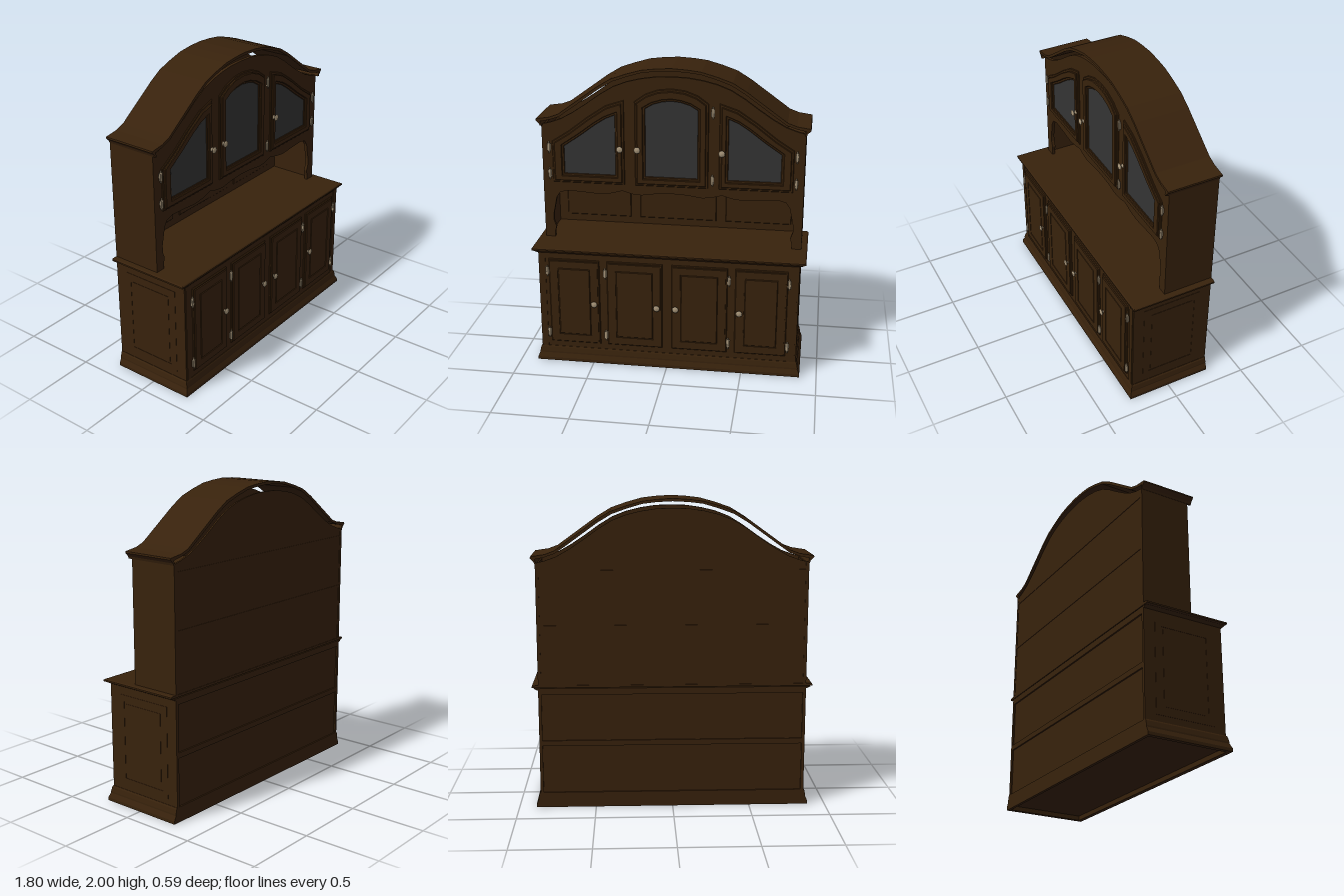
import * as THREE from 'three';

const mat = (name, color) => {
  const m = new THREE.MeshStandardMaterial({ color });
  m.name = name;
  return m;
};

export function createModel() {
  const wood = mat('dark walnut', 0x38220c);
  const glass = mat('smoked glass', 0x343434);
  const metal = mat('aged brass', 0xa8967a);
  const root = new THREE.Group();
  root.name = 'dresser';

  const add = (name, geo, material = wood) => {
    const m = new THREE.Mesh(geo, material);
    m.name = name;
    root.add(m);
    return m;
  };
  // box given by its min and max corners
  const box = (name, x0, x1, y0, y1, z0, z1, material) => {
    const m = add(name, new THREE.BoxGeometry(x1 - x0, y1 - y0, z1 - z0), material);
    m.position.set((x0 + x1) / 2, (y0 + y1) / 2, (z0 + z1) / 2);
    return m;
  };
  const shapeOf = pts => new THREE.Shape(pts.map(p => new THREE.Vector2(p[0], p[1])));
  // flat board with outline pts between z0 and z1, optional hole and chamfer
  const board = (name, pts, z0, z1, { hole, bevel = 0, material } = {}) => {
    const s = shapeOf(pts);
    if (hole) s.holes.push(shapeOf(hole));
    const geo = new THREE.ExtrudeGeometry(s, {
      depth: z1 - z0 - bevel, bevelEnabled: bevel > 0, bevelThickness: bevel,
      bevelSize: bevel, bevelOffset: -bevel, bevelSegments: 1,
    });
    geo.translate(0, 0, z0);
    return add(name, geo, material);
  };
  const rect = (x0, x1, y0, y1) => [[x0, y0], [x1, y0], [x1, y1], [x0, y1]];
  const flip = pts => pts.map(([x, y]) => [-x, y]).reverse();
  // right half (from the centre outwards) to a full left-to-right line
  const fullLine = half => [...flip(half), ...half.slice(1)];
  // shrink a counter-clockwise polygon by d
  const inset = (pts, d) => pts.map((p, i) => {
    const a = pts[(i + pts.length - 1) % pts.length], b = pts[(i + 1) % pts.length];
    const n = (u, v) => {
      const l = Math.hypot(v[0] - u[0], v[1] - u[1]);
      return [-(v[1] - u[1]) / l, (v[0] - u[0]) / l];
    };
    const n1 = n(a, p), n2 = n(p, b);
    const k = d / (1 + n1[0] * n2[0] + n1[1] * n2[1]);
    return [p[0] + (n1[0] + n2[0]) * k, p[1] + (n1[1] + n2[1]) * k];
  });
  // rectangular rings [y, halfWidth, zFront, zBack] joined from top to bottom, capped
  const moulding = (name, rings) => {
    const loops = rings.map(([y, w, f, b]) => [[-w, y, f], [w, y, f], [w, y, b], [-w, y, b]]);
    const pos = [];
    const quad = (a, b, c, d) => pos.push(...a, ...b, ...c, ...a, ...c, ...d);
    quad(...loops[0]);
    for (let i = 0; i + 1 < loops.length; i++) {
      for (let j = 0; j < 4; j++) {
        const k = (j + 1) % 4;
        quad(loops[i + 1][j], loops[i + 1][k], loops[i][k], loops[i][j]);
      }
    }
    quad(...loops[loops.length - 1].slice().reverse());
    const geo = new THREE.BufferGeometry();
    geo.setAttribute('position', new THREE.Float32BufferAttribute(pos, 3));
    geo.computeVertexNormals();
    return add(name, geo);
  };

  const profile = pts => pts.map(p => new THREE.Vector2(...p));
  const knobGeo = new THREE.LatheGeometry(profile([[0.014, 0], [0.013, 0.003], [0.006, 0.006],
    [0.006, 0.013], [0.017, 0.017], [0.022, 0.022], [0.016, 0.027], [0, 0.029]]), 14)
    .rotateX(Math.PI / 2);
  const knob = (x, y, z) => add('knob', knobGeo, metal).position.set(x, y, z);
  const pinGeo = new THREE.LatheGeometry(profile([[0, -0.042], [0.005, -0.038], [0.004, -0.03],
    [0.008, -0.026], [0.008, 0.026], [0.004, 0.03], [0.005, 0.038], [0, 0.042]]), 8);
  const hinge = (x, y, z) => {
    add('hinge', pinGeo, metal).position.set(x, y, z);
    box('hingeLeaf', x - 0.012, x + 0.012, y - 0.024, y + 0.024, z - 0.006, z + 0.003, metal);
  };

  // ---- base cabinet ----
  const back = -0.295;
  moulding('plinth', [
    [0.1, 0.862, 0.258, back], [0.09, 0.868, 0.262, back], [0.06, 0.874, 0.268, back],
    [0.05, 0.874, 0.268, back], [0.02, 0.888, 0.28, back], [0, 0.888, 0.28, back],
    [0, 0.86, 0.25, back + 0.02], [0.03, 0.86, 0.25, back + 0.02],
  ]);
  // top slab with a fine shadow gap over its moulding
  moulding('countertop', [
    [0.817, 0.89, 0.268, back], [0.812, 0.9, 0.276, back], [0.802, 0.9, 0.276, back],
  ]);
  moulding('countertopMoulding', [[0.797, 0.888, 0.27, back], [0.785, 0.866, 0.26, back]]);
  box('baseFront', -0.86, 0.86, 0.1, 0.785, 0.235, 0.255);
  box('baseBack', -0.845, 0.845, 0.1, 0.785, -0.285, -0.275);
  box('backTopRail', -0.845, 0.845, 0.755, 0.785, back, -0.28);
  box('backMiddleRail', -0.845, 0.845, 0.415, 0.45, back, -0.28);
  for (const s of [-1, 1]) {
    box('baseSide', s < 0 ? -0.86 : 0.84, s < 0 ? -0.84 : 0.86, 0.1, 0.785, back, 0.255);
    // shallow raised field on the end panel
    const trim = board('sidePanelTrim', rect(-0.2, 0.2, 0.14, 0.73), 0, 0.003,
      { hole: rect(-0.16, 0.16, 0.18, 0.69) });
    const field = board('sidePanelField', rect(-0.145, 0.145, 0.195, 0.675), 0, 0.003);
    for (const m of [trim, field]) {
      m.rotation.y = s * Math.PI / 2;
      m.position.set(s * 0.859, 0, -0.02);
    }
    // corner pilaster
    box('corner', s * 0.832 - 0.018, s * 0.832 + 0.018, 0.1, 0.785, 0.25, 0.259);
  }

  // lower doors: slab, frame and raised centre
  for (const [x0, x1] of [[-0.79, -0.45], [-0.4, -0.03], [0.03, 0.4], [0.45, 0.79]]) {
    const r = rect(x0, x1, 0.14, 0.745);
    board('lowerDoorEdge', r, 0.255, 0.264, { bevel: 0.005 });
    board('lowerDoorFrame', inset(r, 0.012), 0.26, 0.272, { hole: inset(r, 0.06) });
    board('lowerDoorField', inset(r, 0.064), 0.26, 0.272, { bevel: 0.004 });
  }
  for (const x of [-0.485, -0.065, 0.06, 0.48]) knob(x, 0.44, 0.268);
  for (const x of [-0.8, -0.41, 0.41, 0.8]) for (const y of [0.21, 0.66]) hinge(x, y, 0.269);

  // ---- upper cabinet, open under the floating cornice ----
  const top = fullLine([[0, 1.94], [0.1, 1.937], [0.2, 1.922], [0.29, 1.9], [0.38, 1.865],
    [0.47, 1.81], [0.56, 1.745], [0.65, 1.685], [0.73, 1.64], [0.8, 1.615], [0.86, 1.6]]);
  const opening = fullLine([[0, 1.16], [0.1, 1.155], [0.2, 1.14], [0.26, 1.145], [0.33, 1.165],
    [0.4, 1.145], [0.48, 1.135], [0.6, 1.145], [0.7, 1.15], [0.75, 1.135], [0.775, 1.1],
    [0.785, 1.05], [0.8, 0.98], [0.8, 0.93], [0.785, 0.89], [0.795, 0.85], [0.795, 0.815]]);
  const topRev = top.slice().reverse();
  board('faceFrame', [[-0.86, 0.815], ...opening, [0.86, 0.815], ...topRev], 0.02, 0.042);
  board('backPanel', [[-0.86, 0.815], [0.86, 0.815], ...topRev], -0.292, -0.28);
  for (const s of [-1, 1]) {
    box('upperSide', s < 0 ? -0.86 : 0.84, s < 0 ? -0.84 : 0.86, 0.815, 1.597, back, 0.04);
  }
  box('cupboardFloor', -0.845, 0.845, 1.185, 1.205, back, 0.03);
  box('cupboardShelf', -0.845, 0.845, 1.545, 1.555, back, 0.02);

  // shallow panels at the back of the open niche
  for (const [x0, x1] of [[-0.78, -0.33], [-0.265, 0.265], [0.33, 0.78]]) {
    board('nichePanel', rect(x0, x1, 0.865, 1.11), -0.28, -0.274, { bevel: 0.004 });
  }

  // glazed doors: edge, frame and pane
  const glazedDoor = (outer, pane) => {
    board('glazedDoorEdge', outer, 0.042, 0.05, { hole: pane, bevel: 0.004 });
    board('glazedDoorFrame', inset(outer, 0.015), 0.046, 0.062,
      { hole: inset(pane, -0.015), bevel: 0.004 });
    board('pane', pane, 0.042, 0.047, { material: glass });
  };
  const sideOuter = [[0.31, 1.21], [0.79, 1.21], [0.79, 1.49], [0.68, 1.56], [0.55, 1.66],
    [0.43, 1.74], [0.31, 1.78]];
  const sidePane = [[0.37, 1.275], [0.71, 1.275], [0.71, 1.46], [0.6, 1.535], [0.5, 1.61],
    [0.43, 1.655], [0.37, 1.68]];
  glazedDoor(sideOuter, sidePane);
  glazedDoor(flip(sideOuter), flip(sidePane));
  glazedDoor(
    fullLine([[0, 1.865], [0.09, 1.855], [0.17, 1.825], [0.24, 1.775], [0.24, 1.21]]).reverse(),
    fullLine([[0, 1.785], [0.06, 1.778], [0.12, 1.76], [0.17, 1.73], [0.17, 1.275]]).reverse(),
  );
  for (const x of [-0.335, -0.22, 0.33]) knob(x, 1.46, 0.062);
  for (const [x, y] of [[-0.81, 1.45], [-0.81, 1.27], [0.81, 1.45], [0.81, 1.27],
    [0.268, 1.72], [0.268, 1.27]]) hinge(x, y, 0.056);

  // arched cornice, a thin strip floating just above the face frame
  const crown = [[0, 2], [0.1, 1.994], [0.19, 1.983], [0.29, 1.955], [0.39, 1.92], [0.48, 1.865],
    [0.57, 1.8], [0.66, 1.735], [0.74, 1.677], [0.8, 1.655], [0.888, 1.642]];
  const under = [[0, 1.982], [0.1, 1.977], [0.19, 1.966], [0.285, 1.938], [0.38, 1.904],
    [0.47, 1.85], [0.56, 1.785], [0.65, 1.72], [0.735, 1.66], [0.8, 1.638], [0.862, 1.625],
    [0.85, 1.597], [0.862, 1.595], [0.868, 1.61], [0.89, 1.632]];
  board('cornice', [...fullLine(under), ...fullLine(crown).reverse()], back, 0.067);

  return root;
}
